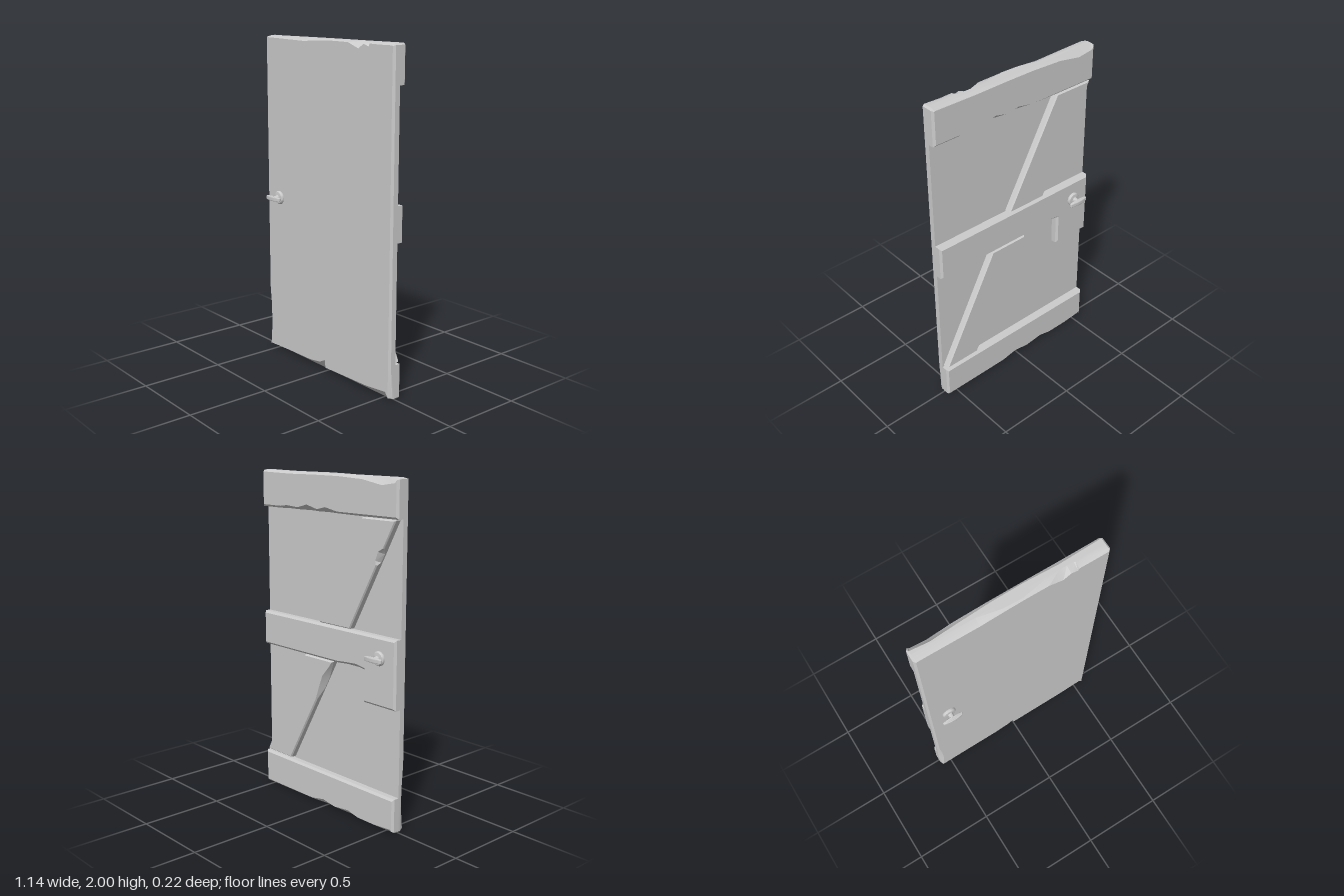
import * as THREE from 'three';
import { toCreasedNormals } from 'three/addons/utils/BufferGeometryUtils.js';

const material = new THREE.MeshStandardMaterial({ color: 0xcccccc });

// Moves every corner of a counter-clockwise outline inwards by its own inset.
function insetOutline(points) {
  const n = points.length;
  return points.map(([x, y, inset = 0.012], i) => {
    const a = points[(i + n - 1) % n], b = points[(i + 1) % n];
    const d0 = new THREE.Vector2(x - a[0], y - a[1]).normalize();
    const d1 = new THREE.Vector2(b[0] - x, b[1] - y).normalize();
    const k = inset / Math.max(0.4, 1 + d0.dot(d1));
    return new THREE.Vector2(x - (d0.y + d1.y) * k, y + (d0.x + d1.x) * k);
  });
}

// A board from zIn to zOut; each outline point is [x, y, chip inset, chip depth].
function board(name, points, zIn, zOut) {
  const s = Math.sign(zOut - zIn), n = points.length;
  const outline = points.map(p => new THREE.Vector2(p[0], p[1]));
  const face = insetOutline(points);
  const pos = [], idx = [];
  outline.forEach(p => pos.push(p.x, p.y, zIn));
  points.forEach(p => pos.push(p[0], p[1], zOut - s * (p[3] ?? 0.012)));
  face.forEach(p => pos.push(p.x, p.y, zOut));
  const tri = (a, b, c) => (s > 0 ? idx.push(a, b, c) : idx.push(a, c, b));
  for (let loop = 0; loop < 2; loop++) {
    for (let i = 0; i < n; i++) {
      const a = loop * n + i, b = loop * n + (i + 1) % n;
      tri(a, b, b + n);
      tri(a, b + n, a + n);
    }
  }
  THREE.ShapeUtils.triangulateShape(face, []).forEach(([a, b, c]) => tri(a + 2 * n, b + 2 * n, c + 2 * n));
  THREE.ShapeUtils.triangulateShape(outline, []).forEach(([a, b, c]) => tri(a, c, b));
  const geo = new THREE.BufferGeometry();
  geo.setAttribute('position', new THREE.Float32BufferAttribute(pos, 3));
  geo.setIndex(idx);
  const mesh = new THREE.Mesh(toCreasedNormals(geo, 0.45), material);
  mesh.name = name;
  return mesh;
}

// Rose, stem and curved grip, pointing along +z from the origin.
function makeHandle(name) {
  const group = new THREE.Group();
  group.name = name;
  const profile = [[0, -0.01], [0.042, -0.01], [0.042, 0.007], [0.036, 0.015], [0.017, 0.018], [0.015, 0.024], [0.015, 0.045], [0, 0.045]]
    .map(p => new THREE.Vector2(...p));
  const rose = new THREE.Mesh(toCreasedNormals(new THREE.LatheGeometry(profile, 24).rotateX(Math.PI / 2), 0.6), material);
  rose.name = name + 'Rose';

  const shape = new THREE.Shape();
  shape.moveTo(-0.06, 0.043);
  shape.quadraticCurveTo(0, 0.036, 0.06, 0.043);
  shape.quadraticCurveTo(0.067, 0.046, 0.06, 0.055);
  shape.quadraticCurveTo(0, 0.07, -0.06, 0.055);
  shape.quadraticCurveTo(-0.067, 0.046, -0.06, 0.043);
  const geo = new THREE.ExtrudeGeometry(shape, {
    depth: 0.014, bevelThickness: 0.007, bevelSize: 0.004, bevelOffset: -0.002, bevelSegments: 3, curveSegments: 10,
  });
  geo.translate(0, 0, -0.007).rotateX(Math.PI / 2);
  // Narrow the grip towards its tips.
  const p = geo.attributes.position;
  for (let i = 0; i < p.count; i++) p.setY(i, p.getY(i) * (1 - 45 * p.getX(i) ** 2));
  const grip = new THREE.Mesh(toCreasedNormals(geo, 0.6), material);
  grip.name = name + 'Grip';
  group.add(rose, grip);
  return group;
}

export function createModel() {
  const door = new THREE.Group();
  door.name = 'door';
  const W = 0.57;

  // Main panel with chipped front edges
  door.add(board('panel', [
    [-W, 0.006, 0.012, 0.03], [-0.56, 0, 0.018, 0.04], [-0.36, 0, 0.026, 0.04], [-0.15, 0, 0.03, 0.04],
    [-0.05, 0, 0.045, 0.04], [-0.006, 0, 0.07, 0.042], [0.002, 0, 0.022, 0.035], [0.15, 0, 0.027, 0.04],
    [0.38, 0, 0.033, 0.04], [0.55, 0, 0.05, 0.04], [W, 0.012, 0.012, 0.025], [W, 0.2],
    [W, 1.99], [0.56, 2], [0.45, 2, 0.012, 0.03], [0.378, 2, 0.01, 0.035], [0.37, 2, 0.026, 0.042],
    [0.33, 2, 0.014, 0.042], [0.285, 2, 0.04, 0.043], [0.2, 2, 0.01, 0.035], [0.05, 2, 0.008, 0.01],
    [-0.06, 2, 0.012, 0.014], [-0.2, 2, 0.02, 0.042], [-0.4, 2, 0.015, 0.042], [-0.56, 2, 0.012, 0.042],
    [-W, 1.99], [-W, 0.4], [-W, 0.3, 0.022, 0.02], [-W, 0.16, 0.026, 0.025],
  ], 0, 0.045));

  // Rails across the back, worn along their outer edges
  door.add(board('topRail', [
    [-W, 1.78], [-0.3, 1.78], [-0.1, 1.78, 0.012, 0.02], [0.0, 1.78, 0.03, 0.035], [0.07, 1.78, 0.014, 0.025],
    [0.16, 1.78, 0.035, 0.04], [0.24, 1.78, 0.014, 0.025], [0.34, 1.78, 0.02, 0.03], [0.4, 1.78], [W, 1.78],
    [W, 1.99], [0.56, 2], [0.3, 2, 0.015, 0.02], [0.1, 2], [-0.1, 2, 0.012, 0.015], [-0.3, 2, 0.02, 0.025],
    [-0.45, 2, 0.045, 0.035], [-0.56, 2, 0.03, 0.025], [-W, 1.99],
  ], 0, -0.045));
  door.add(board('middleRail', [
    [-W, 0.73], [-0.32, 0.73], [-0.32, 0.92], [-0.26, 0.92, 0.024, 0.03], [-0.17, 0.92, 0.018, 0.03],
    [-0.1, 0.92], [W, 0.92], [W, 1.13], [-W, 1.13],
  ], 0, -0.045));
  door.add(board('bottomRail', [
    [-W, 0.01], [-0.56, 0, 0.025, 0.03], [-0.42, 0, 0.014, 0.02], [-0.28, 0, 0.014, 0.02], [-0.2, 0, 0.032, 0.035],
    [-0.08, 0, 0.018, 0.03], [0.02, 0, 0.034, 0.035], [0.12, 0, 0.014, 0.02], [0.56, 0], [W, 0.01],
    [W, 0.21], [-W, 0.21],
  ], 0, -0.045));

  // Diagonal braces between the rails
  door.add(board('upperBrace', [
    [-0.2, 1.135, 0.006, 0.008], [0.06, 1.135, 0.006, 0.008], [-0.295, 1.775, 0.006, 0.008], [-0.55, 1.775, 0.006, 0.008],
    [-0.463, 1.615, 0.006, 0.008], [-0.447, 1.585, 0.028, 0.03], [-0.42, 1.537, 0.02, 0.03], [-0.412, 1.522, 0.006, 0.008],
  ], 0, -0.04));
  door.add(board('lowerBrace', [
    [0.33, 0.22, 0.006, 0.008], [0.56, 0.22, 0.006, 0.008], [0.19, 0.915, 0.006, 0.008], [-0.06, 0.915, 0.006, 0.008],
    [-0.035, 0.87, 0.012, 0.02], [0.004, 0.8, 0.03, 0.035], [0.045, 0.727, 0.02, 0.035], [0.083, 0.66, 0.006, 0.01],
  ], 0, -0.04));

  // Handles on both sides
  for (const side of [1, -1]) {
    const handle = makeHandle(side > 0 ? 'frontHandle' : 'backHandle');
    handle.position.set(-0.447, 1.01, side * 0.045);
    if (side < 0) handle.rotation.y = Math.PI;
    door.add(handle);
  }
  return door;
}
